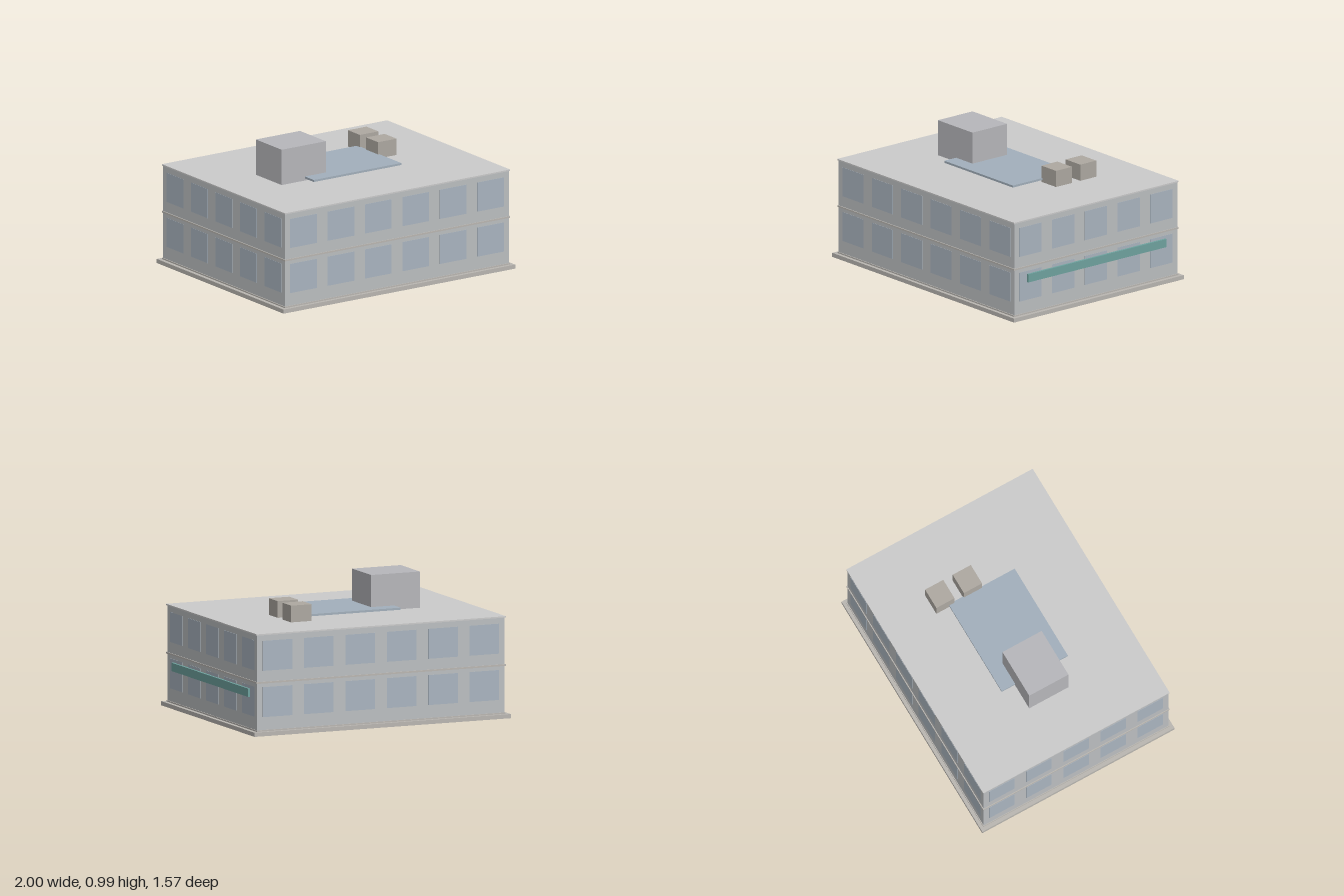
import * as THREE from 'three';

const mat = (color) => new THREE.MeshStandardMaterial({ color });

export function createModel() {
  const model = new THREE.Group();
  model.name = 'building';

  const wall = mat(0xbcbfc1);
  const glass = mat(0xaab5c0);
  const stone = mat(0xbab7b2);
  const roofGrey = mat(0xcccccc);

  // Box given by its extents on each axis
  function box(name, [x0, x1], [y0, y1], [z0, z1], material, parent = model) {
    const mesh = new THREE.Mesh(new THREE.BoxGeometry(x1 - x0, y1 - y0, z1 - z0), material);
    mesh.position.set((x0 + x1) / 2, (y0 + y1) / 2, (z0 + z1) / 2);
    mesh.name = name;
    parent.add(mesh);
    return mesh;
  }
  const layer = (name, hx, hz, y, material) => box(name, [-hx, hx], y, [-hz, hz], material);

  // Plinth, walls, ledges and roof
  const HX = 0.966, HZ = 0.754;
  layer('plinth', 1, 0.785, [0, 0.03], stone);
  layer('walls', HX, HZ, [0.03, 0.72], wall);
  layer('baseLedge', 0.972, 0.76, [0.03, 0.04], stone);
  layer('floorLedge', 0.973, 0.761, [0.374, 0.386], stone);
  layer('roof', 0.973, 0.761, [0.72, 0.73], roofGrey);

  // Two rows of windows on each of the four walls
  const facades = [
    { name: 'frontWindows', count: 6, pitch: 0.323, width: 0.23, depth: HZ, turn: 0 },
    { name: 'leftWindows', count: 5, pitch: 0.303, width: 0.207, depth: HX, turn: Math.PI / 2 },
    { name: 'backWindows', count: 6, pitch: 0.323, width: 0.23, depth: HZ, turn: Math.PI },
    { name: 'rightWindows', count: 5, pitch: 0.303, width: 0.207, depth: HX, turn: -Math.PI / 2 },
  ];
  for (const { name, count, pitch, width, depth, turn } of facades) {
    const side = new THREE.Group();
    side.name = name;
    side.rotation.y = turn;
    for (const y of [0.132, 0.464]) {
      for (let i = 0; i < count; i++) {
        const x = (i - (count - 1) / 2) * pitch;
        box('window', [x - width / 2, x + width / 2], [y, y + 0.215],
          [depth - 0.005, depth + 0.002], glass, side);
      }
    }
    model.add(side);
  }

  // Long sign band on the left wall
  box('signBand', [HX, 0.985], [0.265, 0.325], [-0.64, 0.64], mat(0x6fa39f));

  // Rooftop stair housing, skylight and ventilation units
  box('stairHousing', [-0.58, -0.2], [0.73, 0.99], [-0.16, 0.16], mat(0xb7b7bb));
  box('skylight', [-0.38, 0.375], [0.745, 0.76], [-0.27, 0.27], mat(0xa3b0bc));
  const unit = mat(0xaea9a2);
  for (const z of [-0.375, -0.15]) {
    box('ventUnit', [0.365, 0.525], [0.73, 0.85], [z, z + 0.148], unit);
  }

  return model;
}
